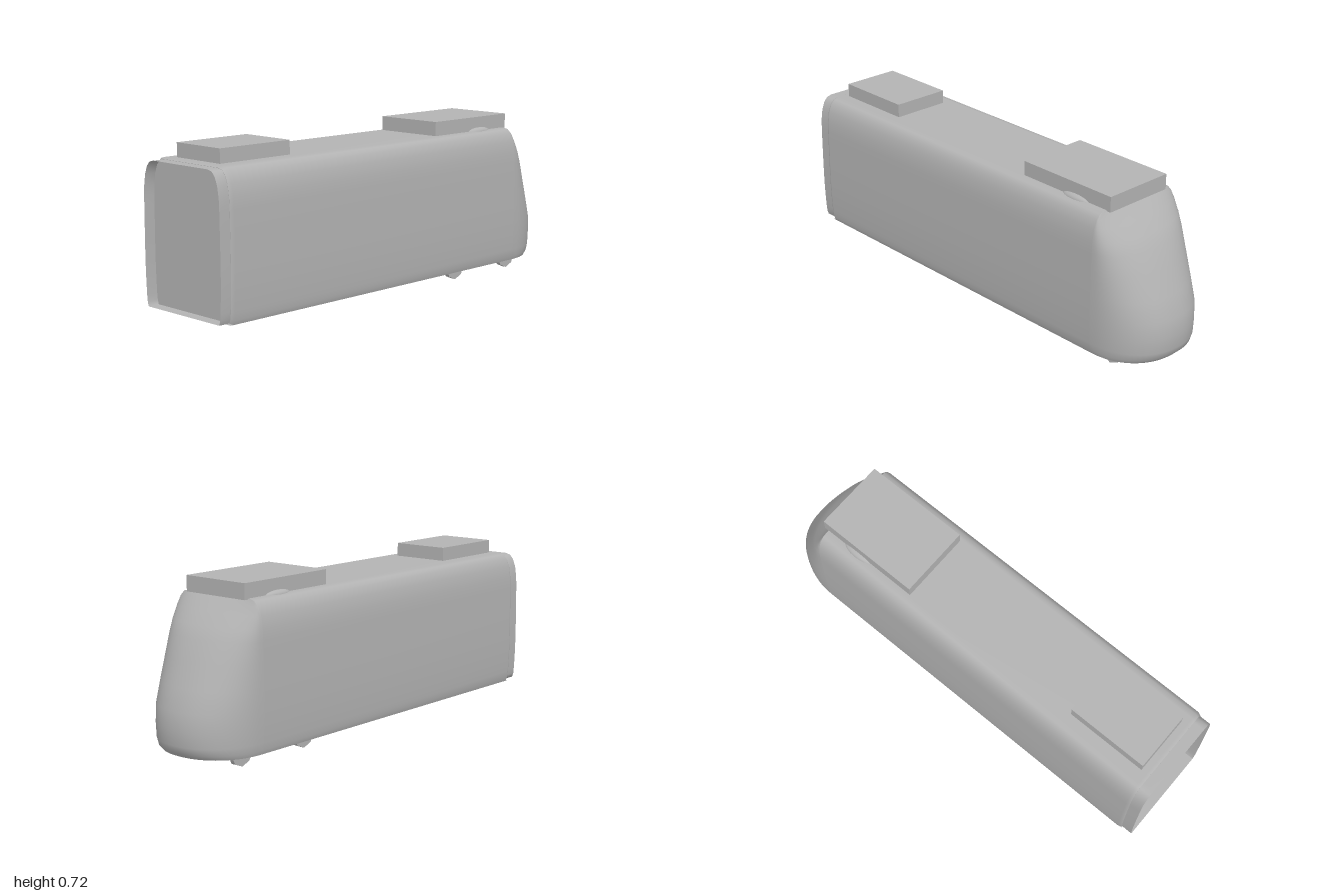
import * as THREE from 'three';

// Half cross-section from sill to roof: half-width, height, z of the nose tip at that height
const SECTION = [
  [0.225, 0.052, -0.97], [0.231, 0.07, -0.988], [0.234, 0.1, -0.998], [0.237, 0.16, -1],
  [0.239, 0.235, -0.993], [0.239, 0.32, -0.96], [0.238, 0.42, -0.916], [0.237, 0.5, -0.877],
  [0.235, 0.55, -0.843], [0.227, 0.6, -0.797], [0.213, 0.635, -0.764], [0.195, 0.654, -0.746],
  [0.17, 0.66, -0.74],
];
const NOSE_Z = -0.74, END_Z = 0.95;

// Smooth skin through rows of points
function loft(rows) {
  const n = rows[0].length, index = [];
  for (let r = 0; r < rows.length - 1; r++) {
    for (let i = 0; i < n - 1; i++) {
      const a = r * n + i, b = a + n;
      index.push(a, b, a + 1, b, b + 1, a + 1);
    }
  }
  const geo = new THREE.BufferGeometry();
  geo.setAttribute('position', new THREE.Float32BufferAttribute(rows.flat(2), 3));
  geo.setIndex(index);
  geo.computeVertexNormals();
  return geo;
}

// Full section outline at z, shrunk by an inset; runs left sill, roof, right sill
function outline(z, inset = 0) {
  const k = 1 - inset / 0.239, ky = 1 - inset / 0.304;
  const half = SECTION.map(([w, y]) => [w * k, 0.356 + (y - 0.356) * ky, z]);
  return [...half, ...half.slice().reverse().map(([x, y]) => [-x, y, z])];
}

// Rounded plan curve of the nose at one height, from left to right
function nosePlan([w, y, tip]) {
  const row = [], steps = 32;
  for (let i = 0; i <= steps; i++) {
    const a = (i / steps) * Math.PI, c = Math.cos(a), s = Math.sin(a);
    row.push([
      w * Math.sign(c) * Math.pow(Math.abs(c), 2 / 2.2), y,
      NOSE_Z + (tip - NOSE_Z) * Math.pow(Math.max(s, 0), 2 / 2.2),
    ]);
  }
  return row;
}

export function createModel() {
  const model = new THREE.Group();
  const grey = new THREE.MeshStandardMaterial({ color: 0xb3b3b3, side: THREE.DoubleSide });
  grey.name = 'body grey';
  const add = (name, geo, x = 0, y = 0, z = 0) => {
    const mesh = new THREE.Mesh(geo, grey);
    mesh.name = name;
    mesh.position.set(x, y, z);
    model.add(mesh);
    return mesh;
  };

  // Long shell with a softened rear edge
  add('bodyShell', loft([outline(NOSE_Z), outline(0.935), outline(END_Z, 0.007)]));

  // Sloped, rounded cab
  add('nose', loft(SECTION.map(nosePlan)));

  // Flat floor following the nose plan
  const floor = new THREE.Shape([
    new THREE.Vector2(0.225, -END_Z), new THREE.Vector2(-0.225, -END_Z),
    ...nosePlan(SECTION[0]).reverse().map(([x, , z]) => new THREE.Vector2(x, -z)),
  ]);
  add('floor', new THREE.ShapeGeometry(floor), 0, 0.052, 0).rotation.x = -Math.PI / 2;

  // Recessed end wall inside an open rim
  const wall = new THREE.Shape(outline(0, 0.007).map(([x, y]) => new THREE.Vector2(x, y)));
  add('endWall', new THREE.ShapeGeometry(wall), 0, 0, END_Z);
  const closed = (z) => { const o = outline(z, 0.008); return [...o, o[0]]; };
  add('gangwayRim', loft([closed(END_Z), closed(1)]));

  // Roof equipment
  add('cabRoofUnit', new THREE.BoxGeometry(0.32, 0.066, 0.475), 0, 0.689, -0.5225);
  add('endRoofUnit', new THREE.BoxGeometry(0.26, 0.06, 0.36), 0, 0.689, 0.73);

  // Thin plate between the wheels
  add('underPlate', new THREE.BoxGeometry(0.36, 0.006, 0.46), 0, 0.0525, -0.605);

  for (const side of [-1, 1]) {
    // Low fairings beside the cab roof unit
    const fairing = add('roofFairing', new THREE.SphereGeometry(1, 16, 10), side * 0.155, 0.655, -0.575);
    fairing.scale.set(0.025, 0.02, 0.075);

    // Eight-sided wheels mostly hidden in the floor
    for (const z of [-0.425, -0.785]) {
      const wheel = add('wheel', new THREE.CylinderGeometry(0.057, 0.057, 0.02, 8), side * 0.15, 0.057, z);
      wheel.rotation.z = Math.PI / 2;
    }
  }
  return model;
}
